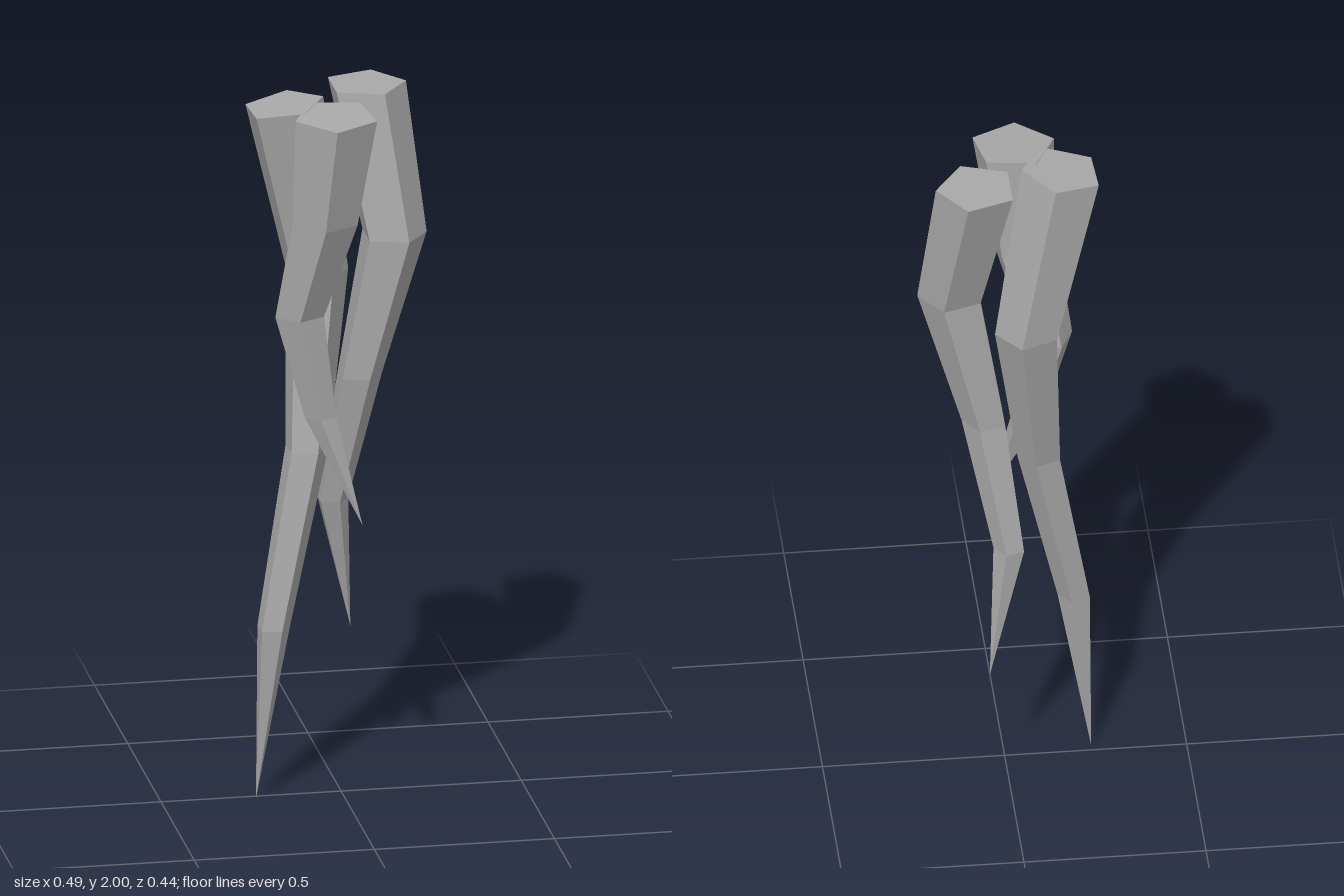
import * as THREE from 'three';

const SIDES = 5;

// Each root: rings from top to bottom as [x, y, z, radius], ending in a point.
// angle turns the pentagon; tiltX / tiltZ slope the cut top.
const ROOTS = [
  {
    name: 'leftRoot', angle: 0, tiltX: 0, tiltZ: 0,
    rings: [
      [0.088, 2.0, -0.114, 0.113],
      [0.15, 1.59, -0.03, 0.093],
      [0.06, 1.18, -0.058, 0.064],
      [0.0, 0.8, -0.135, 0.045],
      [0.06, 0.41, -0.185, 0],
    ],
  },
  {
    name: 'frontRoot', angle: 26, tiltX: 0, tiltZ: -0.08,
    rings: [
      [-0.033, 1.983, 0.1, 0.117],
      [-0.06, 1.67, 0.075, 0.094],
      [-0.12, 1.39, 0.022, 0.07],
      [-0.065, 1.1, 0.042, 0.045],
      [0.04, 0.8, 0.105, 0],
    ],
  },
  {
    name: 'rightRoot', angle: -3, tiltX: 0.14, tiltZ: 0,
    rings: [
      [-0.155, 1.98, -0.03, 0.112],
      [-0.055, 1.48, -0.077, 0.09],
      [-0.098, 1.0, 0.01, 0.062],
      [-0.197, 0.5, 0.047, 0.047],
      [-0.24, 0, 0.02, 0],
    ],
  },
];

function rootGeometry({ rings, angle, tiltX, tiltZ }) {
  const loops = rings.map(([x, y, z, r], k) =>
    Array.from({ length: SIDES }, (_, j) => {
      const a = THREE.MathUtils.degToRad(angle) + (j / SIDES) * Math.PI * 2;
      const dx = Math.cos(a) * r, dz = Math.sin(a) * r;
      const dy = k === 0 ? dx * tiltX + dz * tiltZ : 0;
      return [x + dx, y + dy, z + dz];
    }));
  const pos = [];
  const tri = (a, b, c) => pos.push(...a, ...b, ...c);
  const top = rings[0].slice(0, 3);
  for (let j = 0; j < SIDES; j++) {
    const n = (j + 1) % SIDES;
    tri(top, loops[0][n], loops[0][j]); // cut top
    for (let k = 0; k < loops.length - 1; k++) {
      const a = loops[k], b = loops[k + 1];
      tri(a[j], a[n], b[j]);
      if (rings[k + 1][3] > 0) tri(a[n], b[n], b[j]); // single triangle at the tip
    }
  }
  const geo = new THREE.BufferGeometry();
  geo.setAttribute('position', new THREE.Float32BufferAttribute(pos, 3));
  geo.computeVertexNormals(); // unshared corners give flat facets
  return geo;
}

export function createModel() {
  const group = new THREE.Group();
  group.name = 'hangingRoots';
  const grey = new THREE.MeshStandardMaterial({ color: 0xa8a8a8 });
  grey.name = 'grey';
  for (const root of ROOTS) {
    const mesh = new THREE.Mesh(rootGeometry(root), grey);
    mesh.name = root.name;
    group.add(mesh);
  }
  return group;
}
